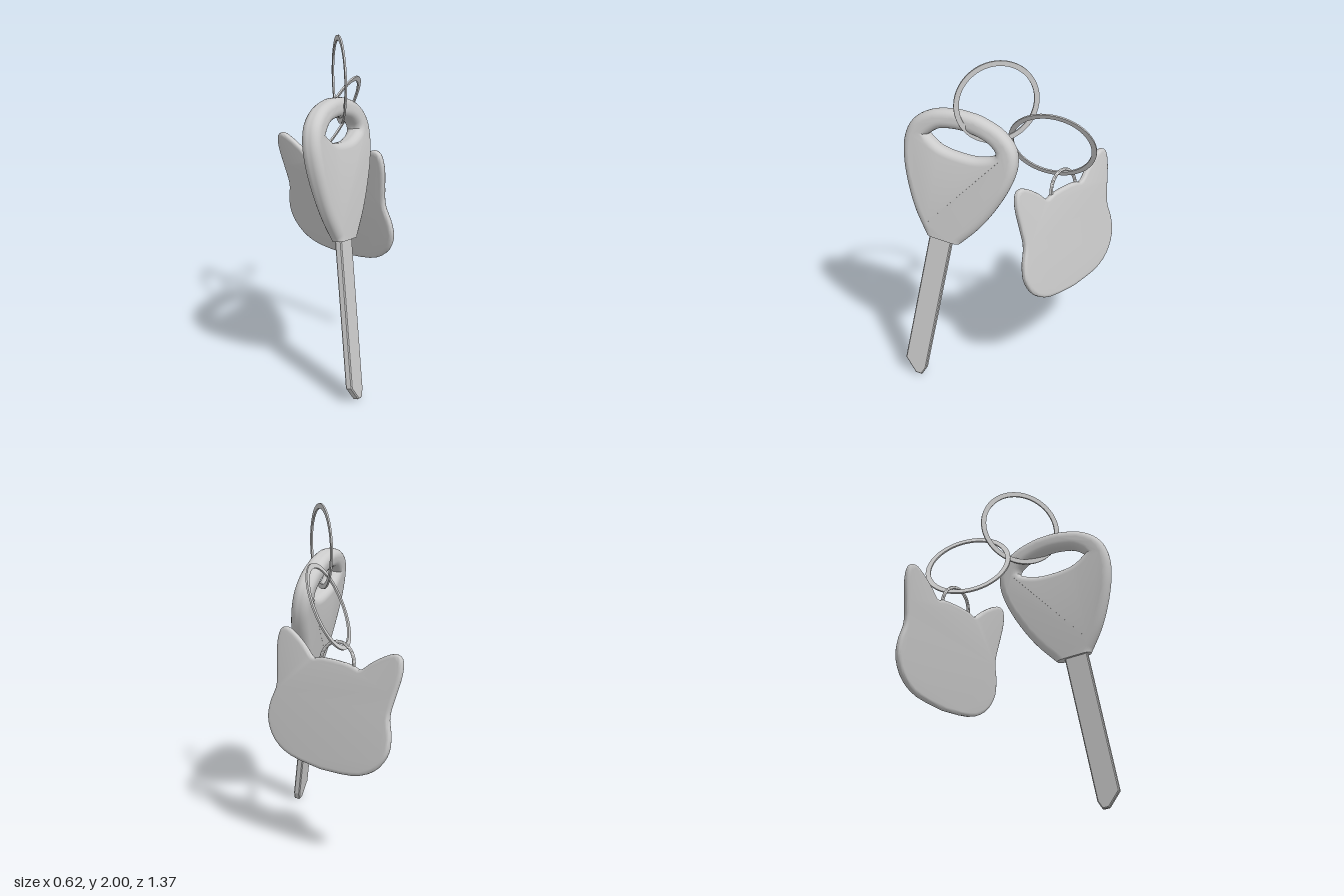
import * as THREE from 'three';
import { toCreasedNormals } from 'three/addons/utils/BufferGeometryUtils.js';

const material = new THREE.MeshStandardMaterial({ color: 0xcccccc });
const v2 = (list) => list.map(([x, y]) => new THREE.Vector2(x, y));
const mirrored = (list) => list.map(([x, y]) => [-x, y]).reverse();

function addMesh(parent, name, geometry, crease = 0.7) {
  const mesh = new THREE.Mesh(toCreasedNormals(geometry, crease), material);
  mesh.name = name;
  parent.add(mesh);
  return mesh;
}

// Sub-group whose local x and y axes point along the given directions
function addFrame(parent, name, xDir, yDir, position) {
  const x = new THREE.Vector3(...xDir).normalize();
  const z = x.clone().cross(new THREE.Vector3(...yDir)).normalize();
  const y = z.clone().cross(x);
  const group = new THREE.Group();
  group.name = name;
  group.quaternion.setFromRotationMatrix(new THREE.Matrix4().makeBasis(x, y, z));
  group.position.set(...position);
  parent.add(group);
  return group;
}

// Extrusion centred on z = 0 whose widest outline is the drawn shape
function slab(shape, thickness, bevelSize, bevelThickness, bevelSegments, curveSegments = 4) {
  const depth = thickness - 2 * bevelThickness;
  return new THREE.ExtrudeGeometry(shape, {
    depth, bevelSize, bevelThickness, bevelSegments, curveSegments, bevelOffset: -bevelSize,
  }).translate(0, 0, -depth / 2);
}

// Flat band ring around the y axis
function bandRing(outer, width, height) {
  const inner = outer - width, h = height / 2;
  const profile = v2([[inner, -h], [outer, -h], [outer, h], [inner, h], [inner, -h]]);
  return new THREE.LatheGeometry(profile, 72);
}

function addRing(parent, name, normal, position, outer, width, height) {
  const ring = addMesh(parent, name, bandRing(outer, width, height));
  ring.quaternion.setFromUnitVectors(new THREE.Vector3(0, 1, 0), new THREE.Vector3(...normal).normalize());
  ring.position.set(...position);
}

function addKey(parent) {
  const key = addFrame(parent, 'key', [0.573, -0.156, -0.805], [-0.04, 0.975, -0.215], [-0.055, 0.907, 0.413]);

  // Rounded grip with a slot through its upper end
  const side = [[0.2, 0.13], [0.275, 0.275], [0.33, 0.43], [0.347, 0.56], [0.315, 0.67], [0.22, 0.75], [0.09, 0.789]];
  const head = new THREE.Shape();
  head.moveTo(-0.105, -0.06);
  head.lineTo(0.105, -0.06);
  head.lineTo(0.105, 0);
  head.splineThru(v2([...side, [0, 0.795], ...mirrored(side), [-0.105, 0]]));
  const slot = new THREE.Path();
  slot.moveTo(-0.21, 0.605);
  slot.splineThru(v2([[-0.14, 0.662], [0, 0.685], [0.14, 0.662], [0.21, 0.605],
    [0.12, 0.557], [0, 0.545], [-0.12, 0.557], [-0.21, 0.605]]));
  head.holes.push(slot);
  const geometry = slab(head, 0.11, 0.042, 0.045, 5);

  // Thin the grip towards the blade and cut its base flat
  const p = geometry.attributes.position;
  for (let i = 0; i < p.count; i++) {
    const y = Math.max(0, p.getY(i));
    p.setY(i, y);
    p.setZ(i, p.getZ(i) * THREE.MathUtils.lerp(0.75, 1, Math.min(1, y / 0.4)));
  }
  addMesh(key, 'keyHead', geometry);

  // Plain blade with an angled tip
  const blade = new THREE.Shape(v2([[-0.085, 0.05], [-0.085, -0.84], [-0.005, -0.92],
    [0.035, -0.92], [0.055, -0.87], [0.055, 0.05]]));
  addMesh(key, 'keyBlade', slab(blade, 0.04, 0.006, 0.006, 1), 0.3);
}

function addCatTag(parent) {
  const tag = addFrame(parent, 'catTag', [0.59, 0.05, 0.8], [-0.155, 0.98, 0.065], [0.012, 0.92, -0.324]);

  // Cat face outline, from below the chin up one side and over the ear
  const half = [[0.23, -0.37], [0.365, -0.305], [0.435, -0.2], [0.437, -0.095], [0.408, 0.015], [0.425, 0.13],
    [0.447, 0.26], [0.435, 0.343], [0.39, 0.365], [0.325, 0.34], [0.24, 0.285], [0.172, 0.23], [0.11, 0.243]];
  const face = new THREE.Shape();
  face.moveTo(0, -0.392);
  face.splineThru(v2([...half, [0, 0.248], ...mirrored(half), [0, -0.392]]));
  addMesh(tag, 'catFace', slab(face, 0.038, 0.02, 0.012, 3, 3));

  // Hanging loop half sunk into the top edge
  const loop = new THREE.TorusGeometry(0.118, 0.01, 8, 32, Math.PI);
  addMesh(tag, 'hangingLoop', loop.translate(0, 0.236, 0), 1);
}

export function createModel() {
  const model = new THREE.Group();
  model.name = 'keyWithCatTag';
  addKey(model);
  addCatTag(model);
  addRing(model, 'upperRing', [1, 0, 0], [-0.035, 1.75, 0.09], 0.25, 0.03, 0.01);
  addRing(model, 'lowerRing', [0.79, -0.41, 0.46], [0.003, 1.46, -0.23], 0.262, 0.03, 0.01);
  return model;
}
